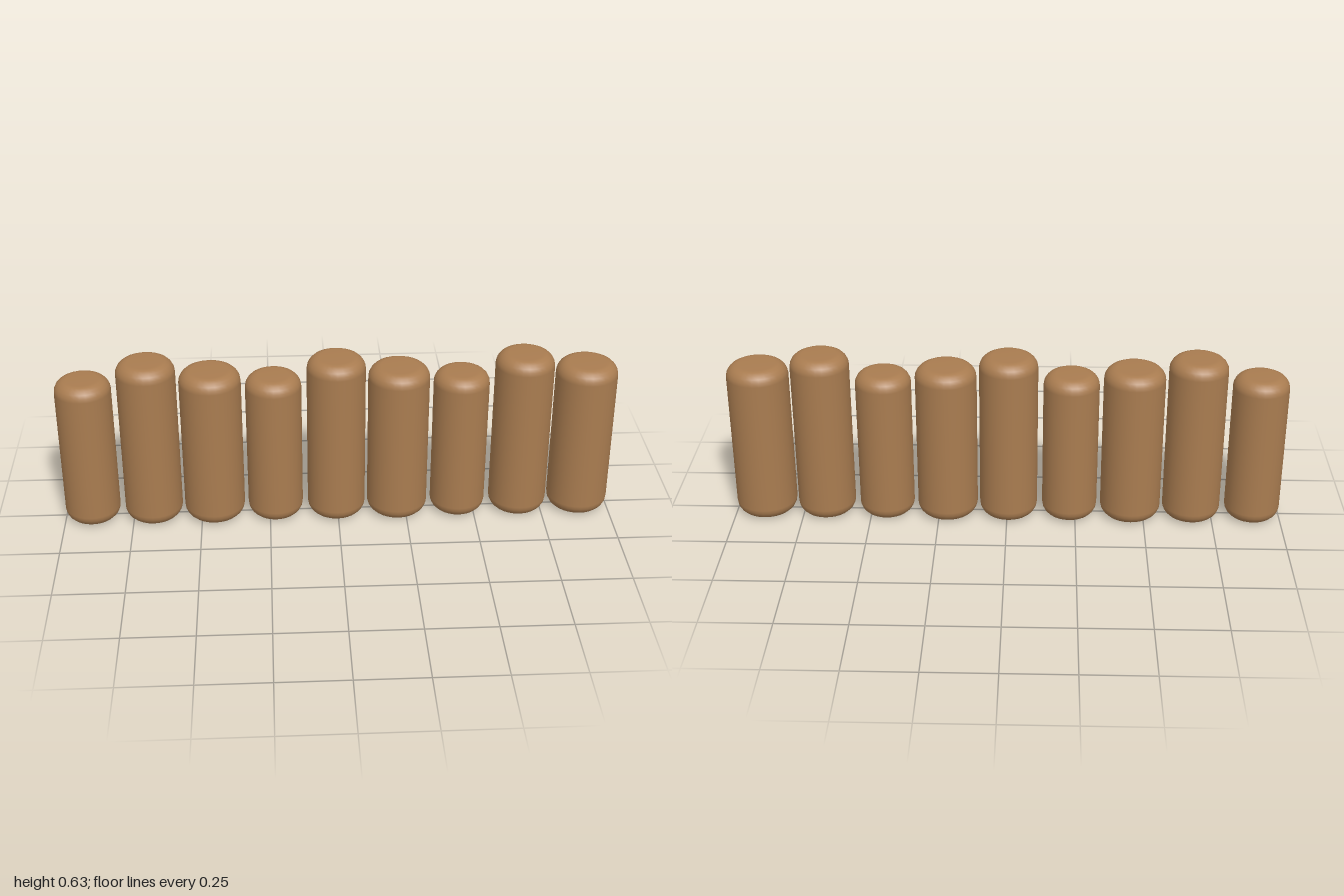
import * as THREE from 'three';

// Upright log with softly rounded ends
function logGeometry(radius, height) {
  const bevel = 0.045;
  const profile = [new THREE.Vector2(0, 0)];
  for (let i = 0; i <= 5; i++) {
    const a = (i / 5) * Math.PI / 2;
    profile.push(new THREE.Vector2(radius - bevel * (1 - Math.sin(a)), bevel * (1 - Math.cos(a))));
  }
  for (let i = 5; i >= 0; i--) {
    const a = (i / 5) * Math.PI / 2;
    profile.push(new THREE.Vector2(radius - bevel * (1 - Math.sin(a)), height - bevel * (1 - Math.cos(a))));
  }
  profile.push(new THREE.Vector2(0, height));
  return new THREE.LatheGeometry(profile, 28);
}

export function createModel() {
  const group = new THREE.Group();
  group.name = 'logPalisade';
  const wood = new THREE.MeshStandardMaterial({ color: 0xa97c50 });
  wood.name = 'brown wood';

  // Three log sizes: slim and short, tall, thick
  const slim = logGeometry(0.1, 0.565);
  const tall = logGeometry(0.105, 0.63);
  const thick = logGeometry(0.11, 0.59);
  const row = [slim, tall, thick, slim, tall, thick, slim, tall, thick];

  row.forEach((geometry, i) => {
    const log = new THREE.Mesh(geometry, wood);
    log.name = `log${i + 1}`;
    log.position.x = -0.9 + i * 0.22375;
    group.add(log);
  });
  return group;
}
